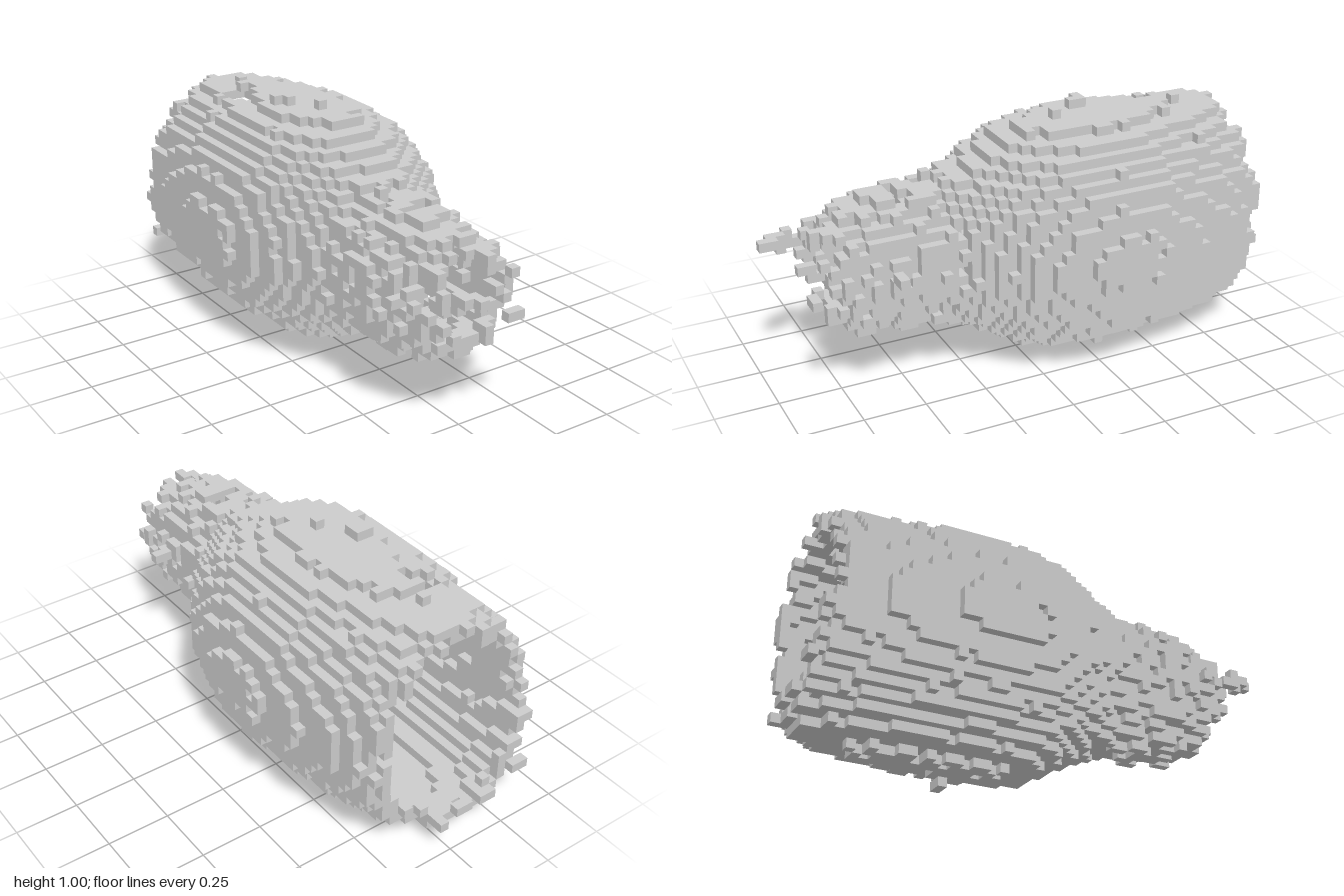
import * as THREE from 'three';

const S = 1 / 27; // edge of one block

// Outline along z: [z, half width, half height, centre x, centre y]
const PROFILE = [
  [-1.0, 0.33, 0.37, -0.04, 0.49], [-0.9, 0.355, 0.415, -0.035, 0.50], [-0.75, 0.395, 0.442, -0.015, 0.5],
  [-0.6, 0.42, 0.452, -0.01, 0.5], [-0.45, 0.446, 0.458, -0.005, 0.51], [-0.28, 0.46, 0.462, 0, 0.51],
  [-0.12, 0.446, 0.456, 0, 0.51], [0.0, 0.415, 0.437, 0, 0.51], [0.1, 0.372, 0.388, 0, 0.51],
  [0.2, 0.315, 0.335, -0.005, 0.51], [0.28, 0.27, 0.295, -0.015, 0.51], [0.34, 0.24, 0.275, -0.03, 0.51],
  [0.55, 0.23, 0.262, -0.035, 0.51], [0.7, 0.205, 0.235, -0.02, 0.51], [0.8, 0.183, 0.195, -0.02, 0.52],
  [1.0, 0.17, 0.18, -0.02, 0.52],
];
const WALL = 0.056;

// Small breaks in the wall: [x, y, z, radius]
const BREAKS = [[-0.12, 0.92, -0.6, 0.07], [0.27, 0.14, -0.26, 0.04]];

function outlineAt(z) {
  let i = 0;
  while (i < PROFILE.length - 2 && PROFILE[i + 1][0] < z) i++;
  const a = PROFILE[i], b = PROFILE[i + 1];
  const t = THREE.MathUtils.clamp((z - a[0]) / (b[0] - a[0]), 0, 1);
  return a.map((v, n) => v + (b[n] - v) * t);
}

// Repeatable noise from 0 to 1
function noise(i, j, k) {
  const n = Math.sin(i * 127.1 + j * 311.7 + k * 74.7) * 43758.5453;
  return n - Math.floor(n);
}

// Rough back rim: worn at the top, reaching further at the lower right
function backEnd(i, j, x, y) {
  if (y > 0.75) return -0.86 - 0.07 * noise(i, j, 9);
  if (y < 0.45 && x < 0.05) return -0.91 - 0.08 * noise(i, j, 5);
  return -0.89 - 0.04 * noise(i, j, 9);
}

// True where the hollow, ragged-ended wall has a block
function inShell(i, j, k) {
  const x = i * S, y = 0.5 + j * S, z = (k + 0.5) * S;
  const [, rx, ry, cx, cy] = outlineAt(z);
  if (z < backEnd(i, j, x, y) || z > 0.72 + 0.13 * noise(i, j, 3)) return false;
  if (BREAKS.some(([bx, by, bz, r]) => Math.hypot(x - bx, y - by, z - bz) < r)) return false;
  // The neck is rougher than the body
  const rough = (noise(i, j, k) - 0.5) * (z > 0.25 ? 0.04 : 0.012);
  const dx = x - cx, dy = y - cy;
  const outer = Math.hypot(dx / (rx + rough), dy / (ry + rough));
  const inner = Math.hypot(dx / (rx - WALL + rough), dy / (ry - WALL + rough));
  return outer <= 1 && inner > 1;
}

// Draws the exposed faces of a set of blocks
function blockGeometry(cells) {
  const positions = [], normals = [], index = [];
  const filled = new Set(cells.map((c) => c.join()));
  for (const c of cells) {
    const centre = [c[0] * S, 0.5 + c[1] * S, (c[2] + 0.5) * S];
    for (let axis = 0; axis < 3; axis++) {
      for (const side of [-1, 1]) {
        const next = c.slice();
        next[axis] += side;
        if (filled.has(next.join())) continue;
        const u = (axis + 1) % 3, v = (axis + 2) % 3, start = positions.length / 3;
        for (const [a, b] of [[-1, -1], [1, -1], [1, 1], [-1, 1]]) {
          const p = centre.slice(), n = [0, 0, 0];
          p[axis] += side * S / 2;
          p[u] += a * side * S / 2;
          p[v] += b * S / 2;
          n[axis] = side;
          positions.push(...p);
          normals.push(...n);
        }
        index.push(start, start + 1, start + 2, start, start + 2, start + 3);
      }
    }
  }
  const geometry = new THREE.BufferGeometry();
  geometry.setAttribute('position', new THREE.Float32BufferAttribute(positions, 3));
  geometry.setAttribute('normal', new THREE.Float32BufferAttribute(normals, 3));
  geometry.setIndex(index);
  return geometry;
}

export function createModel() {
  const group = new THREE.Group();
  group.name = 'hollowBlockShell';
  const material = new THREE.MeshStandardMaterial({ color: 0xcccccc });
  const body = [], neck = [];
  for (let k = -27; k <= 26; k++)
    for (let j = -13; j <= 13; j++)
      for (let i = -12; i <= 12; i++)
        if (inShell(i, j, k)) (k < 7 ? body : neck).push([i, j, k]);

  // Loose blocks on the top, the underside, the neck, the front tip and the back rim
  const crumbs = [
    [-3, 13, -9], [-2, 13, -8], [-2, 13, -9], [0, 13, -5], [2, -13, -9], [3, -13, -9],
    [6, 1, 15], [7, 1, 15], [-7, 1, 18],
    [-5, 2, 22], [-5, 2, 23], [-5, 3, 23], [-4, 2, 24], [-4, 3, 24], [-4, 3, 25], [-3, 3, 25], [-3, 3, 26],
    [3, -1, 23], [4, -1, 23],
    [-9, -7, -27], [-8, -7, -27], [-5, -9, -27], [-4, -9, -27], [-1, -9, -27],
  ];
  const taken = new Set([...body, ...neck].map((c) => c.join()));
  const parts = { body, neck, looseBlocks: crumbs.filter((c) => !taken.has(c.join())) };
  for (const [name, cells] of Object.entries(parts)) {
    const mesh = new THREE.Mesh(blockGeometry(cells), material);
    mesh.name = name;
    group.add(mesh);
  }
  return group;
}
